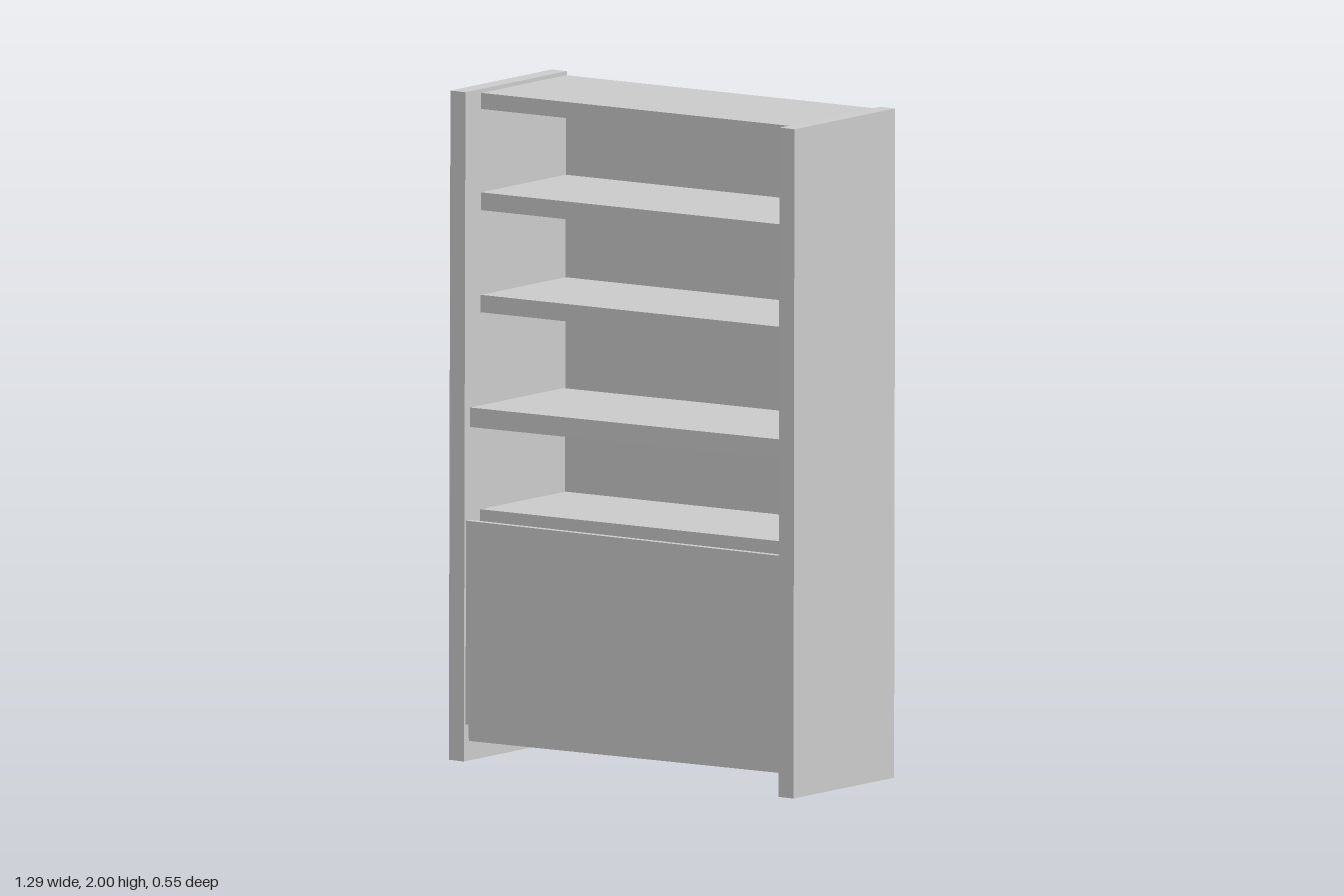
import * as THREE from 'three';

const material = new THREE.MeshStandardMaterial({ color: 0xcccccc, flatShading: true });

// Board given by its extents, then turned slightly about its own centre
function board(name, [x0, x1], [y0, y1], [z0, z1], ry = 0, rz = 0) {
  const mesh = new THREE.Mesh(new THREE.BoxGeometry(x1 - x0, y1 - y0, z1 - z0), material);
  mesh.position.set((x0 + x1) / 2, (y0 + y1) / 2, (z0 + z1) / 2);
  mesh.rotation.set(0, ry, rz);
  mesh.name = name;
  return mesh;
}

export function createModel() {
  const model = new THREE.Group();
  model.name = 'bookcase';

  // The whole case stands slightly turned
  const cabinet = new THREE.Group();
  cabinet.name = 'cabinet';
  cabinet.rotation.y = 0.036;
  model.add(cabinet);

  // Upright sides
  cabinet.add(
    board('rightSide', [-0.631, -0.576], [0.002, 2], [-0.257, 0.249], 0.003, -0.003),
    board('leftSide', [0.576, 0.631], [0.002, 2], [-0.253, 0.247], 0, -0.002)
  );

  // Shelves: bottom height, top height, front edge; all lean a little
  const shelves = [
    ['bottomBoard', 0.065, 0.115, 0.225, 0],
    ['shelf', 0.697, 0.75, 0.18, -0.017],
    ['middleShelf', 1.002, 1.06, 0.222, 0],
    ['shelf', 1.338, 1.39, 0.18, -0.017],
    ['shelf', 1.643, 1.696, 0.18, -0.017],
    ['topBoard', 1.945, 1.993, 0.18, -0.017],
  ];
  for (const [name, y0, y1, front, ry] of shelves) {
    cabinet.add(board(name, [-0.578, 0.578], [y0, y1], [-0.243, front], ry, 0.008));
  }

  // Thin back panel, slightly askew, and the closed lower front
  cabinet.add(
    board('backPanel', [-0.602, 0.58], [0.105, 1.98], [-0.257, -0.243], -0.017, 0.003),
    board('lowerFrontPanel', [-0.578, 0.578], [0.112, 0.72], [0.218, 0.239], 0.003)
  );

  return model;
}
